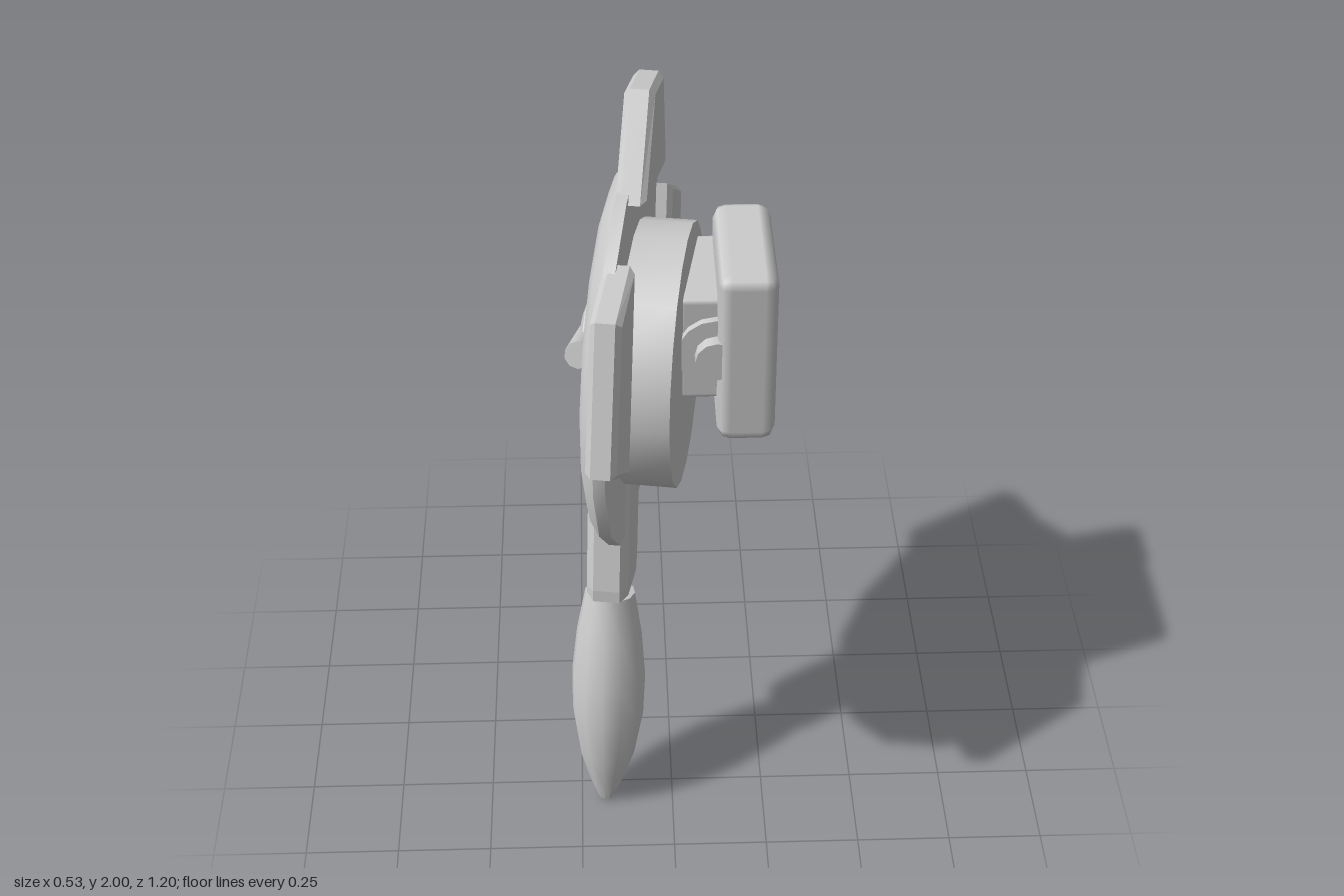
import * as THREE from 'three';
import { toCreasedNormals } from 'three/addons/utils/BufferGeometryUtils.js';
import { RoundedBoxGeometry } from 'three/addons/geometries/RoundedBoxGeometry.js';

const grey = new THREE.MeshStandardMaterial({ color: 0xcccccc });
grey.name = 'grey';

function add(parent, name, geometry, x = 0, y = 0, z = 0) {
  const mesh = new THREE.Mesh(geometry, grey);
  mesh.name = name;
  mesh.position.set(x, y, z);
  parent.add(mesh);
  return mesh;
}

// Turned profile of [radius, height] points, low end first, with sharp edges kept
function lathe(points, sides, phase = 0) {
  const g = new THREE.LatheGeometry(points.map(([r, h]) => new THREE.Vector2(r, h)), sides, phase);
  return toCreasedNormals(g, 0.6);
}

// Bevelled plate: outline of [z, y] corners, spanning x0 to x1
function plate(corners, x0, x1, bevel) {
  const shape = new THREE.Shape(corners.map(([z, y]) => new THREE.Vector2(-z, y)));
  const g = new THREE.ExtrudeGeometry(shape, {
    depth: x1 - x0 - 2 * bevel, bevelThickness: bevel, bevelSize: bevel,
    bevelOffset: -bevel, bevelSegments: 1,
  });
  g.translate(0, 0, x0 + bevel);
  return g.rotateY(Math.PI / 2);
}

export function createModel() {
  const model = new THREE.Group();
  model.name = 'bladedWheel';

  // Everything but the mounting block is turned slightly about the upright axis
  const wheel = new THREE.Group();
  wheel.name = 'wheel';
  wheel.rotation.y = -0.165;
  model.add(wheel);

  const cy = 1.295, cz = 0.02;

  // Dish with a domed centre and raised rim on its outer side
  const dish = lathe([
    [0, -0.205], [0.12, -0.2], [0.24, -0.183], [0.355, -0.148], [0.36, -0.14],
    [0.375, -0.16], [0.42, -0.158], [0.465, -0.143], [0.505, -0.115],
    [0.505, -0.085], [0, -0.085],
  ], 16, Math.PI / 16).rotateZ(-Math.PI / 2);
  add(wheel, 'dish', dish, 0, cy + 0.005, cz + 0.005);

  // Hub drum on the inner side
  const drum = lathe([[0, -0.09], [0.343, -0.09], [0.343, 0.05], [0, 0.05]], 20);
  add(wheel, 'hubDrum', drum.rotateZ(-Math.PI / 2), 0, cy, cz);

  // Centre boss and cross bar on the dome
  const boss = lathe([[0, -0.225], [0.06, -0.222], [0.1, -0.21], [0.12, -0.18], [0, -0.18]], 16);
  add(wheel, 'centreBoss', boss.rotateZ(-Math.PI / 2), 0, cy + 0.02, cz - 0.02);
  const bar = new THREE.CylinderGeometry(0.036, 0.036, 0.37, 10).rotateX(Math.PI / 2);
  add(wheel, 'crossBar', bar, -0.204, cy + 0.02, cz - 0.02).rotation.x = -0.33;

  // Three tapered blades around the rim
  const blades = {
    topBlade: [[0.105, 1.775], [-0.27, 1.685], [-0.23, 1.965], [-0.065, 2.0]],
    frontBlade: [[0.277, 1.715], [0.505, 1.7], [0.62, 1.335], [0.41, 1.19]],
    backBlade: [[-0.39, 1.55], [-0.26, 1.02], [-0.518, 1.05], [-0.588, 1.425]],
  };
  for (const [name, corners] of Object.entries(blades)) {
    add(wheel, name, plate(corners, -0.118, -0.042, 0.014));
  }

  // Neck joining the wheel to the grip
  const neck = [
    [0.27, 0.69], [0.272, 0.655], [0.25, 0.645], [0.11, 0.615],
    [0.085, 0.625], [0.065, 0.665], [-0.035, 1.13], [0.175, 1.15],
  ];
  add(wheel, 'neck', plate(neck, -0.185, -0.075, 0.02));

  // Spindle-shaped grip
  const grip = lathe([
    [0, 0], [0.02, 0], [0.045, 0.06], [0.075, 0.15], [0.097, 0.28],
    [0.1, 0.4], [0.088, 0.53], [0.067, 0.65], [0, 0.66],
  ], 12);
  add(wheel, 'grip', grip, -0.13, 0.004, 0.336).rotation.x = -0.2;

  // Pivot bracket between hub and mounting block
  add(model, 'bracket', new RoundedBoxGeometry(0.13, 0.3, 0.31, 1, 0.015), 0.085, 1.37, -0.035);
  const pivot = new THREE.CylinderGeometry(0.1, 0.1, 0.28, 16).rotateX(Math.PI / 2);
  add(model, 'pivot', pivot, 0.115, 1.37, 0);
  const pin = new THREE.CylinderGeometry(0.055, 0.055, 0.33, 12).rotateX(Math.PI / 2);
  add(model, 'pivotPin', pin, 0.115, 1.37, 0.01);

  // Mounting block with chamfered edges
  const block = new RoundedBoxGeometry(0.148, 0.49, 0.385, 1, 0.033);
  add(model, 'mountingBlock', block, 0.191, 1.37, -0.008);

  return model;
}
